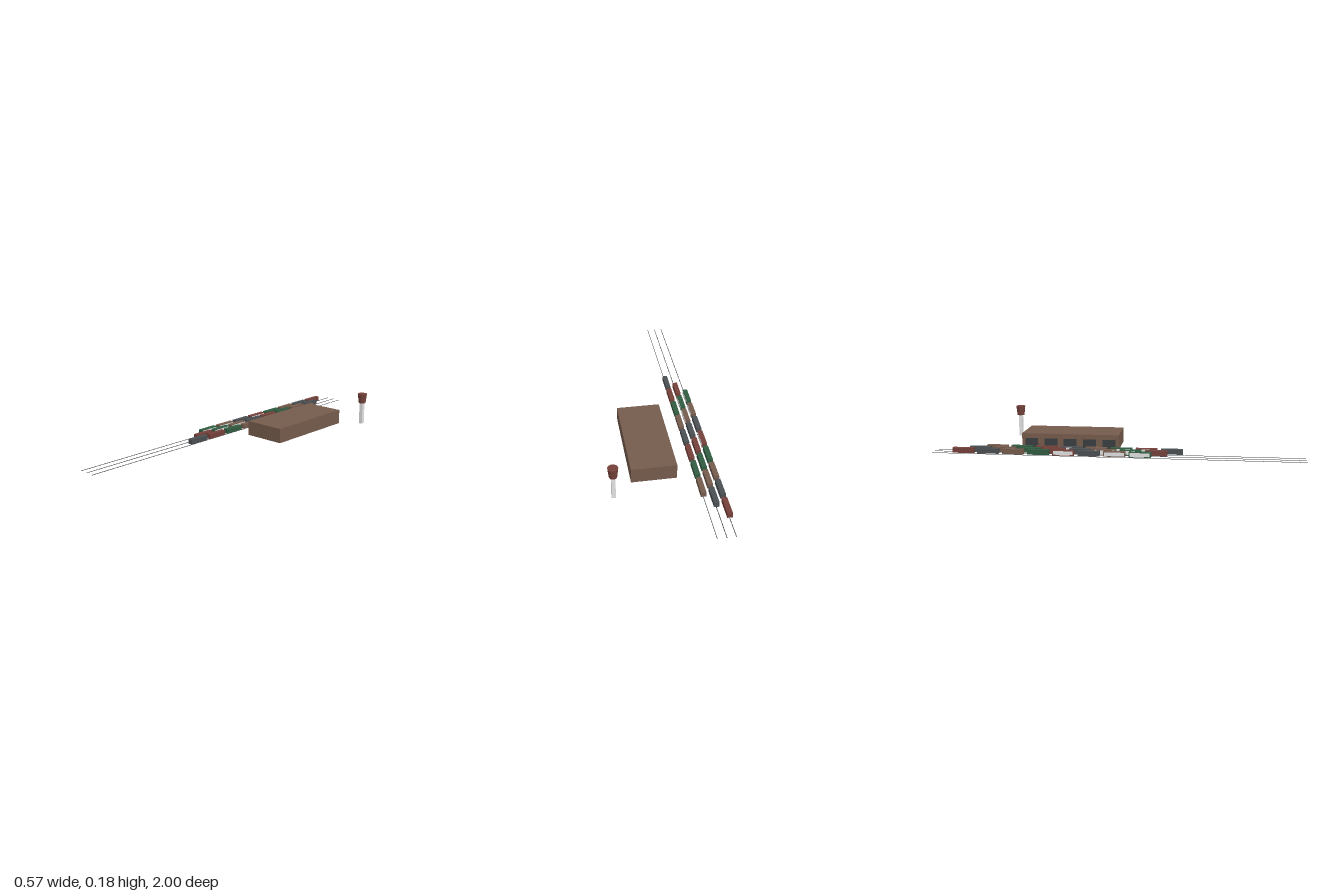
import * as THREE from 'three';

const paint = (name, color) => {
  const m = new THREE.MeshStandardMaterial({ color });
  m.name = name;
  return m;
};

function box(parent, name, material, size, pos) {
  const mesh = new THREE.Mesh(new THREE.BoxGeometry(...size), material);
  mesh.name = name;
  mesh.position.set(...pos);
  parent.add(mesh);
  return mesh;
}

function group(parent, name) {
  const g = new THREE.Group();
  g.name = name;
  parent.add(g);
  return g;
}

export function createModel() {
  const model = new THREE.Group();
  model.name = 'freightYard';

  const red = paint('rust red', 0x75413a);
  const grey = paint('slate grey', 0x4a4f52);
  const brown = paint('brown', 0x755b4c);
  const green = paint('dark green', 0x315c41);
  const white = paint('pale white', 0xe3e3e3);
  const iron = paint('rail iron', 0x4a4d50);
  const doorGrey = paint('door grey', 0x3a3e42);

  // Three tracks, each with a staggered row of eight wagons;
  // some wagons carry pale side panels
  const cycle = [red, grey, brown, green];
  const pitch = 0.1365;
  const tracks = [
    { x: -0.2715, panelled: [4, 6, 7], sides: [-1, 1] },
    { x: -0.2265, panelled: [5, 6], sides: [-1, 1] },
    { x: -0.1805, panelled: [3, 5, 6], sides: [-1] },
  ];
  tracks.forEach(({ x, panelled, sides }, t) => {
    const track = group(model, 'track' + (t + 1));
    box(track, 'rail', iron, [0.003, 0.002, 2], [x, 0.001, 0]);
    for (let i = 0; i < 8; i++) {
      const wagon = group(track, 'wagon');
      wagon.position.set(x, 0.0205, -0.82 + t * 0.082 + i * pitch);
      box(wagon, 'wagonBody', cycle[(i + t) % 4], [0.027, 0.027, 0.117], [0, 0, 0]);
      if (!panelled.includes(i)) continue;
      for (const s of sides) {
        box(wagon, 'sidePanel', white, [0.001, 0.02, 0.105], [s * 0.0137, 0, 0]);
      }
    }
  });

  // Warehouse with five loading doors facing the tracks
  const warehouse = group(model, 'warehouse');
  box(warehouse, 'warehouseBody', brown, [0.237, 0.082, 0.545], [0.038, 0.041, -0.2725]);
  for (let i = 0; i < 5; i++) {
    box(warehouse, 'loadingDoor', doorGrey, [0.002, 0.055, 0.073], [-0.081, 0.0275, -0.0545 - i * 0.109]);
  }

  // Water tower: square leg and a tank widening upwards
  const tower = group(model, 'waterTower');
  tower.position.set(0.256, 0, -0.636);
  box(tower, 'towerLeg', white, [0.021, 0.128, 0.021], [0, 0.064, 0]);
  const tank = new THREE.Mesh(new THREE.CylinderGeometry(0.027, 0.0205, 0.055, 20), red);
  tank.name = 'tank';
  tank.position.y = 0.155;
  tower.add(tank);

  return model;
}
